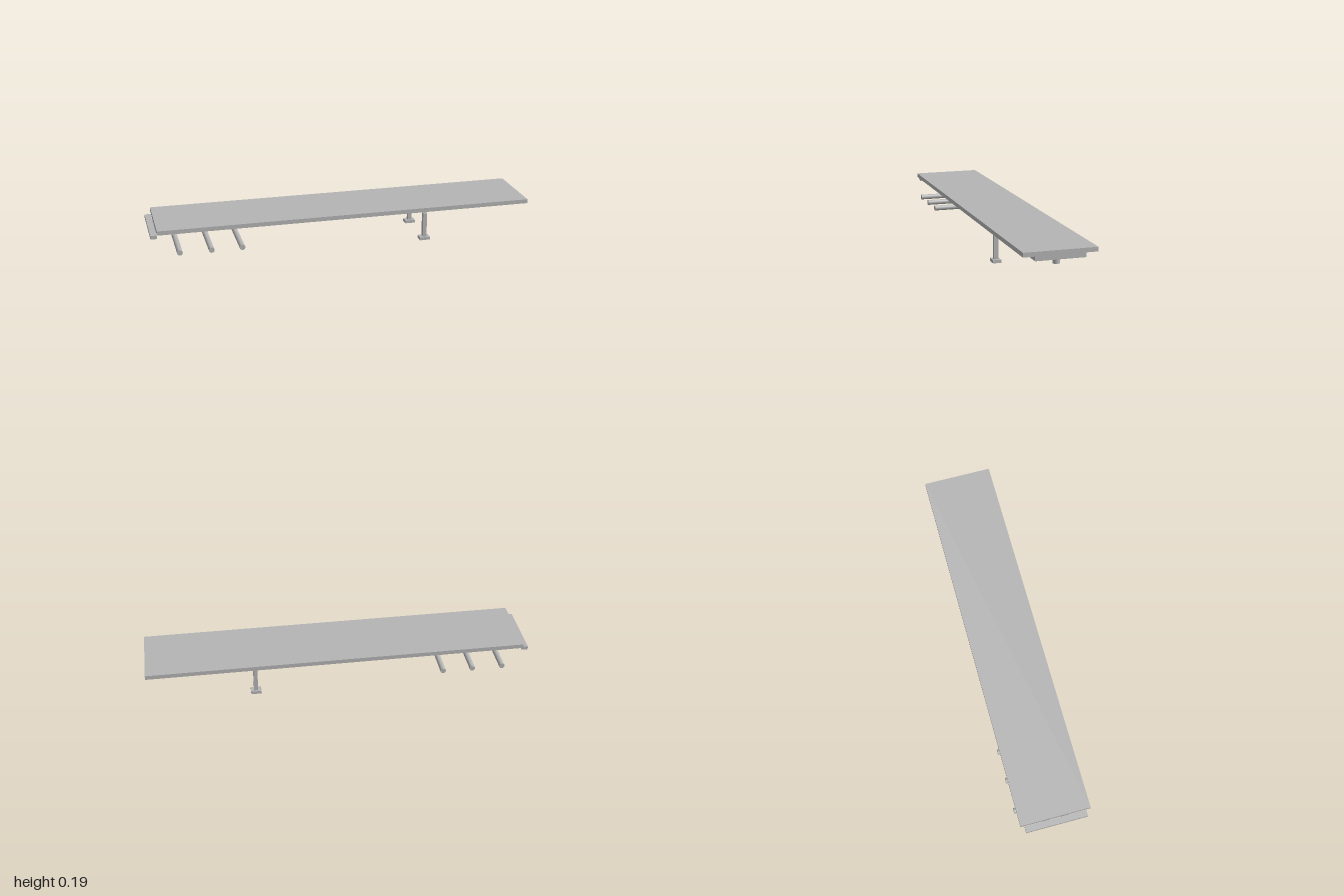
import * as THREE from 'three';

export function createModel() {
  const model = new THREE.Group();
  const steel = new THREE.MeshStandardMaterial({ color: 0xb4b4b4 });
  steel.name = 'plain grey';

  function add(name, geometry, x = 0, y = 0, z = 0) {
    const mesh = new THREE.Mesh(geometry, steel);
    mesh.name = name;
    mesh.position.set(x, y, z);
    model.add(mesh);
    return mesh;
  }
  // Box given by its limits along each axis
  function box(name, x0, x1, y0, y1, z0, z1) {
    return add(name, new THREE.BoxGeometry(x1 - x0, y1 - y0, z1 - z0),
      (x0 + x1) / 2, (y0 + y1) / 2, (z0 + z1) / 2);
  }

  // Load deck and rear bumper
  box('deck', -0.968, 1, 0.17, 0.192, -0.181, 0.181);
  box('rearBumper', -1, -0.968, 0.144, 0.163, -0.16, 0.16);

  // Coupling plate with tapered rear corners
  const outline = new THREE.Shape([
    [1, -0.123], [1, 0.123], [0.86, 0.123], [0.8, 0.07], [0.8, -0.07], [0.86, -0.123],
  ].map(([x, z]) => new THREE.Vector2(x, z)));
  const plate = new THREE.ExtrudeGeometry(outline, { depth: 0.022, bevelEnabled: false });
  plate.rotateX(Math.PI / 2);
  add('couplingPlate', plate, 0, 0.17, 0);
  add('kingpin', new THREE.CylinderGeometry(0.017, 0.017, 0.033, 24), 0.94, 0.1315, 0);

  // Chassis rails and landing legs, mirrored
  for (const s of [-1, 1]) {
    box('chassisRail', -0.968, 0.82, 0.148, 0.17, s * 0.05 - 0.02, s * 0.05 + 0.02);
    box('landingLeg', 0.43, 0.451, 0.017, 0.148, s * 0.131 - 0.0115, s * 0.131 + 0.0115);
    box('landingFoot', 0.413, 0.467, 0.001, 0.017, s * 0.131 - 0.021, s * 0.131 + 0.021);
  }
  box('legCrossbar', 0.431, 0.45, 0.147, 0.166, -0.131, 0.131);

  // Axles
  for (const x of [-0.86, -0.70, -0.543]) {
    const axle = new THREE.CylinderGeometry(0.0142, 0.0142, 0.37, 24);
    axle.rotateX(Math.PI / 2);
    add('axle', axle, x, 0.068, 0);
  }
  return model;
}
